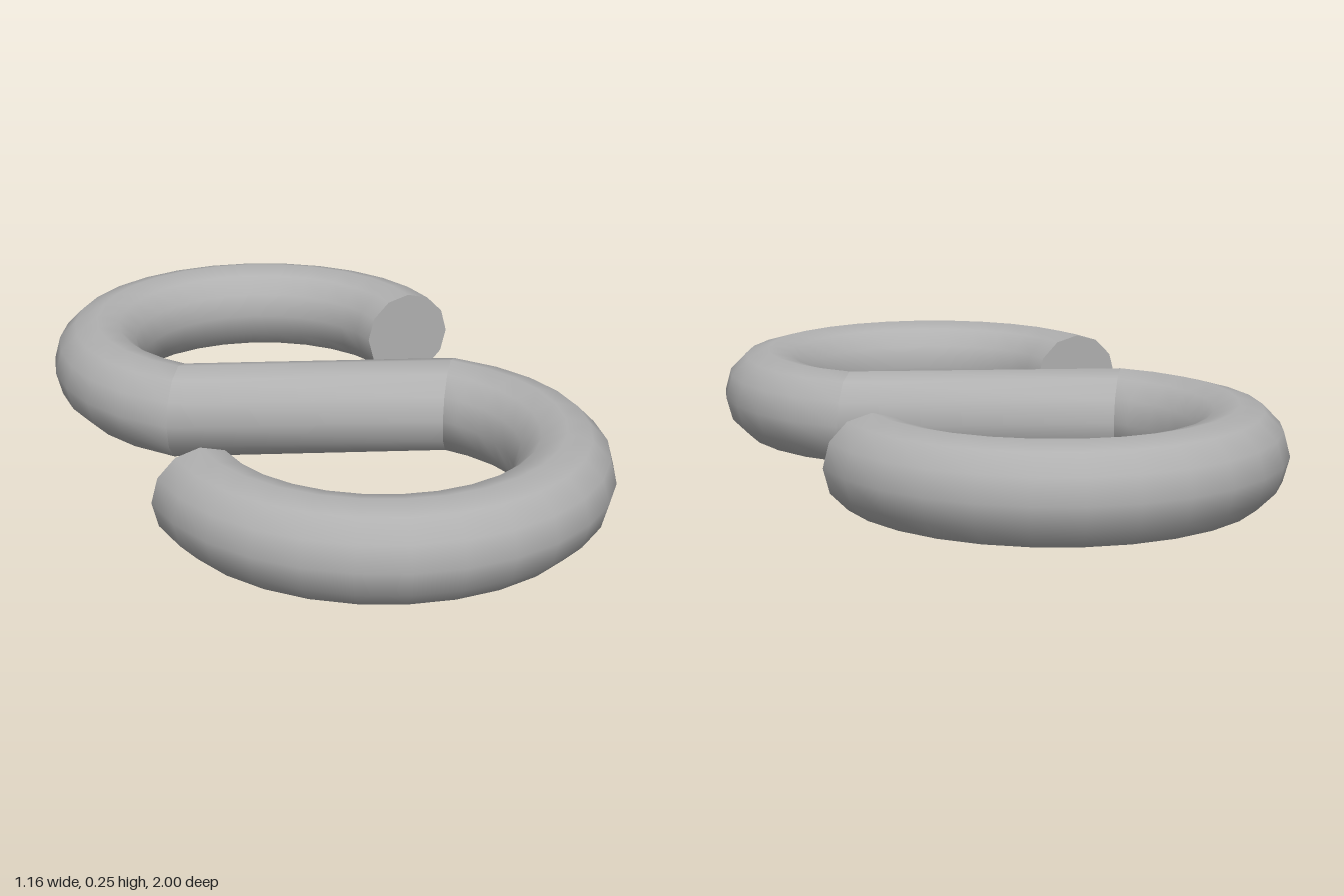
import * as THREE from 'three';
import { toCreasedNormals } from 'three/addons/utils/BufferGeometryUtils.js';

const TUBE = 0.1235, BEND = 0.458, CENTRE = -0.419, SIDES = 12, STEPS = 18;
const SWEEP = THREE.MathUtils.degToRad(222);

// Skin a round tube through rings { x, z, dir, stretch } lying in the ground plane
function skin(rings) {
  const pos = [], index = [];
  for (const { x, z, dir, stretch = 1 } of rings) {
    for (let j = 0; j < SIDES; j++) {
      const t = (j / SIDES) * Math.PI * 2;
      const side = Math.cos(t) * TUBE * stretch;
      pos.push(x - Math.sin(dir) * side, TUBE + Math.sin(t) * TUBE, z + Math.cos(dir) * side);
    }
  }
  for (let i = 0; i < rings.length - 1; i++) {
    for (let j = 0; j < SIDES; j++) {
      const k = (j + 1) % SIDES;
      const a = i * SIDES + j, b = a + SIDES, c = i * SIDES + k, d = c + SIDES;
      index.push(a, b, c, b, d, c);
    }
  }
  const g = new THREE.BufferGeometry();
  g.setAttribute('position', new THREE.Float32BufferAttribute(pos, 3));
  g.setIndex(index);
  return toCreasedNormals(g, THREE.MathUtils.degToRad(35));
}

export function createModel() {
  const model = new THREE.Group();
  model.name = 'sHook';
  const steel = new THREE.MeshStandardMaterial({ color: 0xb0b0b0 });
  steel.name = 'steelGrey';

  // Centreline of the back hook, from its open tip to the bar
  const arc = [];
  for (let i = 0; i <= STEPS; i++) {
    const a = (i / STEPS) * SWEEP;
    arc.push({ x: BEND * Math.cos(a), z: CENTRE - BEND * Math.sin(a), dir: -Math.PI / 2 - a });
  }

  // Mitred joint where the hook meets the straight bar
  const joint = arc[STEPS];
  const arcDir = joint.dir + Math.PI * 2;
  const barDir = Math.atan2(-joint.z, -joint.x);
  joint.dir = (arcDir + barDir) / 2;
  joint.stretch = 1 / Math.cos((arcDir - barDir) / 2);

  // Two hooks, one the half-turn of the other, each with a flat tip
  for (const [name, turn] of [['backHook', 0], ['frontHook', Math.PI]]) {
    const hook = new THREE.Group();
    hook.name = name;
    const bend = new THREE.Mesh(skin(arc), steel);
    bend.name = name + 'Bend';
    const tip = new THREE.Mesh(new THREE.CircleGeometry(TUBE, SIDES), steel);
    tip.name = name + 'Tip';
    tip.position.set(BEND, TUBE, CENTRE);
    hook.add(bend, tip);
    hook.rotation.y = turn;
    model.add(hook);
  }

  // Diagonal bar
  const bar = new THREE.Mesh(skin([joint, { ...joint, x: -joint.x, z: -joint.z }]), steel);
  bar.name = 'diagonalBar';
  model.add(bar);
  return model;
}
